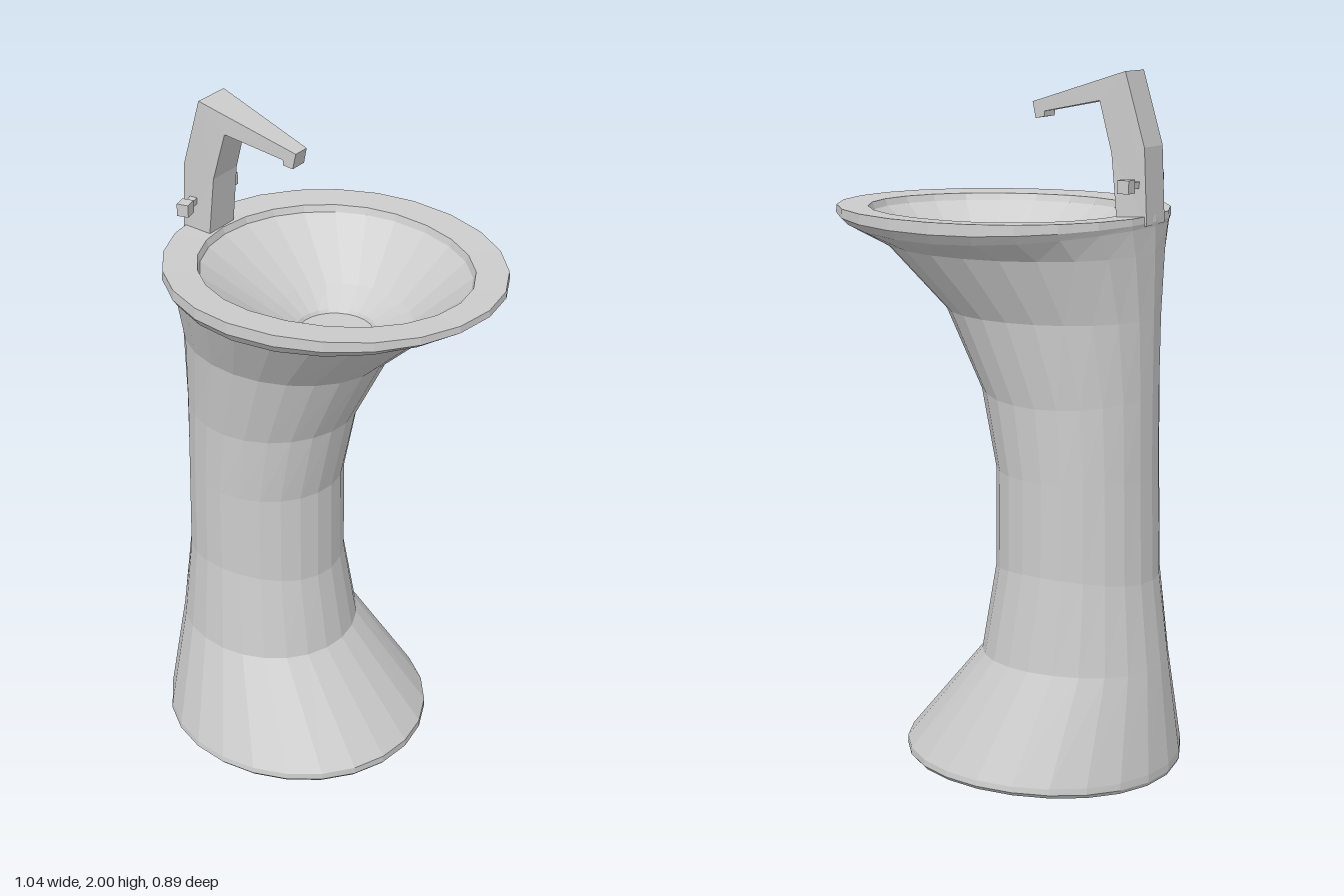
import * as THREE from 'three';

const SIDES = 24;
const material = new THREE.MeshStandardMaterial({ color: 0xcccccc, flatShading: true });

// Skin over oval rings [y, back x, front x, centre x, half width, sag at the sides].
// A ring of zero width closes an end.
function loft(name, rings) {
  const positions = [];
  const index = [];
  for (const [y, back, front, cx, w, sag] of rings) {
    for (let j = 0; j < SIDES; j++) {
      const t = (j / SIDES) * Math.PI * 2;
      const c = Math.cos(t), s = Math.sin(t);
      positions.push(cx + c * (c > 0 ? front - cx : cx - back), y + sag * s * s, w * s);
    }
  }
  for (let i = 0; i < rings.length - 1; i++) {
    for (let j = 0; j < SIDES; j++) {
      const k = (j + 1) % SIDES;
      const a = i * SIDES + j, b = i * SIDES + k;
      const c = a + SIDES, d = b + SIDES;
      if (rings[i][4] > 0) index.push(a, c, b);
      if (rings[i + 1][4] > 0) index.push(b, c, d);
    }
  }
  const geometry = new THREE.BufferGeometry();
  geometry.setAttribute('position', new THREE.Float32BufferAttribute(positions, 3));
  geometry.setIndex(index);
  geometry.computeVertexNormals();
  const mesh = new THREE.Mesh(geometry, material);
  mesh.name = name;
  return mesh;
}

function box(name, size, position) {
  const mesh = new THREE.Mesh(new THREE.BoxGeometry(...size), material);
  mesh.name = name;
  mesh.position.set(...position);
  return mesh;
}

// Bent spout: side profile extruded, then narrowed towards the tip
function faucetBody() {
  const profile = [
    [-0.45, 1.59], [-0.36, 1.59], [-0.34, 1.78], [-0.3, 1.92], [-0.12, 1.885],
    [-0.12, 1.87], [-0.09, 1.865], [-0.08, 1.91], [-0.38, 2.0], [-0.44, 1.8],
  ].map(([x, y]) => new THREE.Vector2(x, y));
  const geometry = new THREE.ExtrudeGeometry(new THREE.Shape(profile), { depth: 2, bevelEnabled: false });
  const p = geometry.attributes.position;
  for (let i = 0; i < p.count; i++) {
    const t = THREE.MathUtils.clamp((p.getX(i) + 0.37) / 0.29, 0, 1);
    p.setZ(i, (p.getZ(i) - 1) * THREE.MathUtils.lerp(0.056, 0.025, t));
  }
  geometry.computeVertexNormals();
  const mesh = new THREE.Mesh(geometry, material);
  mesh.name = 'spout';
  return mesh;
}

function handle(name, side, turn) {
  const group = new THREE.Group();
  group.name = name;
  group.add(
    box('handleStem', [0.022, 0.018, 0.065], [0, 0, side * 0.03]),
    box('handleKnob', [0.034, 0.036, 0.038], [0, 0, side * 0.072]),
  );
  group.position.set(-0.415, 1.7, side * 0.04);
  group.rotation.y = turn;
  return group;
}

export function createModel() {
  const model = new THREE.Group();
  model.name = 'pedestalBasin';

  // Flared foot, waisted column and overhanging underside
  model.add(loft('pedestal', [
    [0.01, -0.11, -0.11, -0.11, 0, 0],
    [0.0, -0.515, 0.29, -0.11, 0.385, 0.015],
    [0.012, -0.52, 0.3, -0.11, 0.395, 0.015],
    [0.035, -0.52, 0.3, -0.11, 0.392, 0.008],
    [0.33, -0.49, 0.06, -0.2, 0.26, 0.01],
    [0.58, -0.46, 0.02, -0.22, 0.225, 0.03],
    [0.88, -0.452, 0.02, -0.22, 0.222, 0],
    [1.11, -0.45, 0.07, -0.2, 0.225, -0.02],
    [1.33, -0.45, 0.18, -0.13, 0.26, 0],
    [1.51, -0.45, 0.37, -0.05, 0.35, 0],
    [1.585, -0.45, 0.5, 0, 0.425, -0.03],
    [1.597, -0.452, 0.52, 0, 0.445, -0.015],
  ]));

  // Rim, inner step, conical bowl and flat drain floor
  model.add(loft('basin', [
    [1.597, -0.452, 0.52, 0, 0.445, -0.015],
    [1.615, -0.45, 0.518, 0, 0.443, 0],
    [1.61, -0.354, 0.43, 0, 0.35, 0],
    [1.59, -0.348, 0.423, 0, 0.343, 0],
    [1.455, -0.14, 0.26, 0.035, 0.18, 0],
    [1.41, -0.078, 0.147, 0.035, 0.108, 0],
    [1.4, -0.072, 0.141, 0.035, 0.102, 0],
    [1.4, 0.035, 0.035, 0.035, 0, 0],
  ]));

  const faucet = new THREE.Group();
  faucet.name = 'faucet';
  faucet.add(faucetBody(), handle('rightSideHandle', -1, 0), handle('leftSideHandle', 1, 0.25));
  model.add(faucet);
  return model;
}
